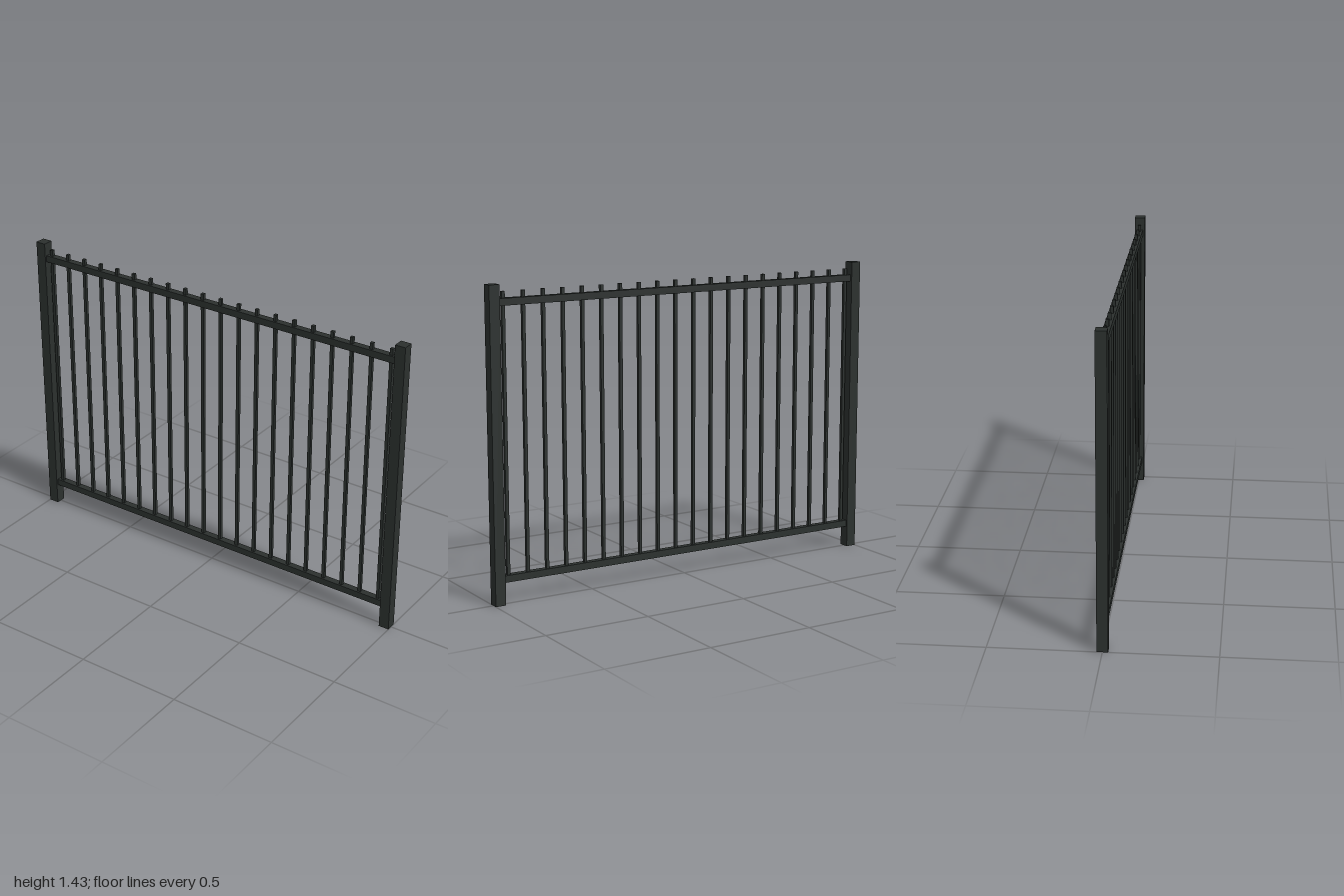
import * as THREE from 'three';

export function createModel() {
  const fence = new THREE.Group();
  fence.name = 'fencePanel';
  const material = new THREE.MeshStandardMaterial({ color: 0x2b302e });

  const height = 1.43, post = 0.05, rail = 0.032, picket = 0.015;

  // Box spanning y0..y1, centred on x and z = 0
  function bar(name, x, y0, y1, width, depth) {
    const mesh = new THREE.Mesh(new THREE.BoxGeometry(width, y1 - y0, depth), material);
    mesh.position.set(x, (y0 + y1) / 2, 0);
    mesh.name = name;
    fence.add(mesh);
  }

  // Square end posts
  bar('leftPost', 1 - post / 2, 0, height, post, post);
  bar('rightPost', -1 + post / 2, 0, height, post, post);

  // Horizontal rails between the posts
  const span = 2 - 2 * post;
  bar('bottomRail', 0, 0.101, 0.101 + rail, span, rail);
  bar('topRail', 0, 1.336, 1.336 + rail, span, rail);

  // Evenly spaced pickets, standing in the bottom rail and passing the top one
  const count = 20, reach = 0.925;
  for (let i = 0; i < count; i++) {
    const x = -reach + (2 * reach * i) / (count - 1);
    bar('picket' + (i + 1), x, 0.117, 1.398, picket, picket);
  }

  return fence;
}
